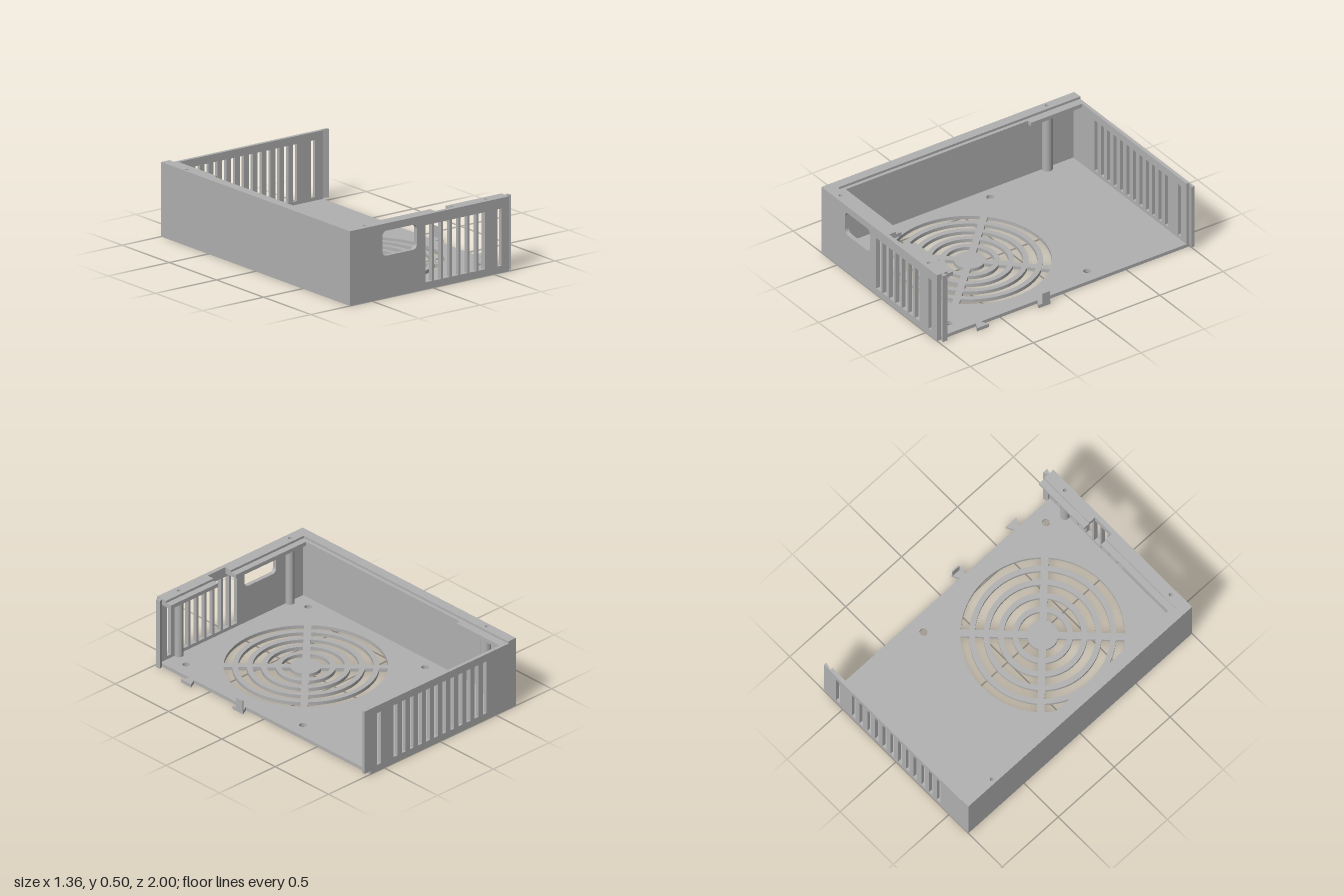
import * as THREE from 'three';

const FLOOR = 0.024, LEDGE = 0.46, STEP = 0.488, TOP = 0.505;

export function createModel() {
  const group = new THREE.Group();
  const metal = new THREE.MeshStandardMaterial({ color: 0xb0b0b0 });

  const add = (name, geo) => {
    const mesh = new THREE.Mesh(geo, metal);
    mesh.name = name;
    group.add(mesh);
    return mesh;
  };
  const poly = (pts, C = THREE.Shape) => new C(pts.map(p => new THREE.Vector2(p[0], p[1])));
  const circle = (x, y, r, C = THREE.Path) => new C().absarc(x, y, r, 0, Math.PI * 2, false);
  const rect = (x0, y0, x1, y1, C = THREE.Path) => poly([[x0, y0], [x1, y0], [x1, y1], [x0, y1]], C);
  const extrude = (shape, depth) =>
    new THREE.ExtrudeGeometry(shape, { depth, bevelEnabled: false, curveSegments: 20 });
  // plan shapes use (x, -z) and are raised from y0 to y1
  const plan = (name, shape, y0, y1) =>
    add(name, extrude(shape, y1 - y0).rotateX(-Math.PI / 2).translate(0, y0, 0));
  const planPoly = pts => poly(pts.map(([x, z]) => [x, -z]));
  // upright shapes use (x, y) and run from z0 to z1
  const upright = (name, shape, z0, z1) =>
    add(name, extrude(shape, z1 - z0).translate(0, 0, z0));

  const screws = [[-0.525, 0.957], [0.47, 0.957], [-0.648, -0.76]];
  const screwHole = ([x, z]) => circle(x, -z, 0.013);

  // floor with fan grille and mounting holes
  const floor = rect(-0.68, -1, 0.625, 1, THREE.Shape);
  const cx = -0.026, cz = 0.286, halfSpoke = 0.024;
  for (let ring = 0; ring < 5; ring++) {
    const r0 = 0.102 + ring * 0.0935, r1 = r0 + 0.057;
    const a0 = Math.asin(halfSpoke / r0), a1 = Math.asin(halfSpoke / r1);
    for (let q = 0; q < 4; q++) {
      const s = Math.PI / 4 + q * Math.PI / 2, e = s + Math.PI / 2;
      const slot = new THREE.Path();
      slot.absarc(cx, -cz, r1, s + a1, e - a1, false);
      slot.absarc(cx, -cz, r0, e - a0, s + a0, true);
      slot.closePath();
      floor.holes.push(slot);
    }
  }
  for (const x of [-0.573, 0.521])
    for (const z of [-0.26, 0.835]) floor.holes.push(circle(x, -z, 0.025));
  floor.holes.push(...screws.map(screwHole));
  plan('floor', floor, 0, FLOOR);

  // solid side wall
  plan('sideWall', planPoly([[-0.68, -0.975], [-0.655, -0.975], [-0.655, 0.97], [-0.68, 0.97]]), FLOOR, LEDGE);

  // front wall with socket window and vent slots
  const front = rect(-0.68, FLOOR, 0.625, LEDGE, THREE.Shape);
  const [wx0, wx1, wy0, wy1, wr] = [-0.414, -0.13, 0.286, 0.455, 0.035];
  const win = new THREE.Path();
  win.absarc(wx1 - wr, wy0 + wr, wr, -Math.PI / 2, 0, false);
  win.absarc(wx1 - wr, wy1 - wr, wr, 0, Math.PI / 2, false);
  win.absarc(wx0 + wr, wy1 - wr, wr, Math.PI / 2, Math.PI, false);
  win.absarc(wx0 + wr, wy0 + wr, wr, Math.PI, Math.PI * 1.5, false);
  win.closePath();
  front.holes.push(win);
  const slotAt = (x, w) => rect(x - w / 2, 0.048, x + w / 2, 0.434);
  for (let i = 0; i < 7; i++) front.holes.push(slotAt(-0.035 + i * 0.0726, 0.055));
  front.holes.push(slotAt(0.546, 0.034));
  upright('frontWall', front, 0.97, 1);

  // back wall with vent slots
  const back = rect(-0.68, FLOOR, 0.625, STEP, THREE.Shape);
  for (let i = 0; i < 12; i++) back.holes.push(slotAt(-0.4 + i * 0.0726, 0.034));
  back.holes.push(slotAt(0.546, 0.034));
  upright('backWall', back, -1, -0.975);

  // stepped rim along the side and front, notched at the front
  const lower = planPoly([
    [-0.68, -0.975], [-0.556, -0.975], [-0.556, -0.57], [-0.588, -0.57], [-0.588, 0.872],
    [0.042, 0.872], [0.042, 0.97], [0.2, 0.97], [0.2, 0.872], [0.625, 0.872],
    [0.625, 1], [-0.68, 1]]);
  const upper = planPoly([
    [-0.68, -1], [-0.612, -1], [-0.612, 0.917],
    [0.042, 0.917], [0.042, 0.97], [0.2, 0.97], [0.2, 0.917], [0.625, 0.917],
    [0.625, 1], [-0.68, 1]]);
  for (const s of [lower, upper]) s.holes.push(...screws.map(screwHole));
  plan('rimLedge', lower, LEDGE, STEP);
  plan('rimTop', upper, STEP, TOP);

  // hollow screw posts
  screws.forEach(([x, z], i) => {
    const r = i === 2 ? 0.036 : 0.03;
    const post = circle(i === 2 ? x + 0.006 : x, -z, r, THREE.Shape);
    post.holes.push(screwHole([x, z]));
    plan('screwPost', post, FLOOR, LEDGE);
  });

  // flared tabs on the open side
  for (const z of [0.187, 0.673])
    plan('floorTab', planPoly([[0.625, z - 0.02], [0.678, z - 0.048], [0.678, z + 0.048], [0.625, z + 0.02]]), 0, FLOOR);
  add('uprightClip', new THREE.BoxGeometry(0.008, 0.1, 0.06).translate(0.674, 0.05, 0.173));
  plan('frontWallTab', planPoly([[0.625, 0.952], [0.657, 0.94], [0.657, 0.976], [0.625, 0.966]]), 0, TOP);
  plan('backWallTab', planPoly([[0.625, -1], [0.678, -1], [0.678, -0.978], [0.625, -0.992]]), 0.025, STEP);

  return group;
}
